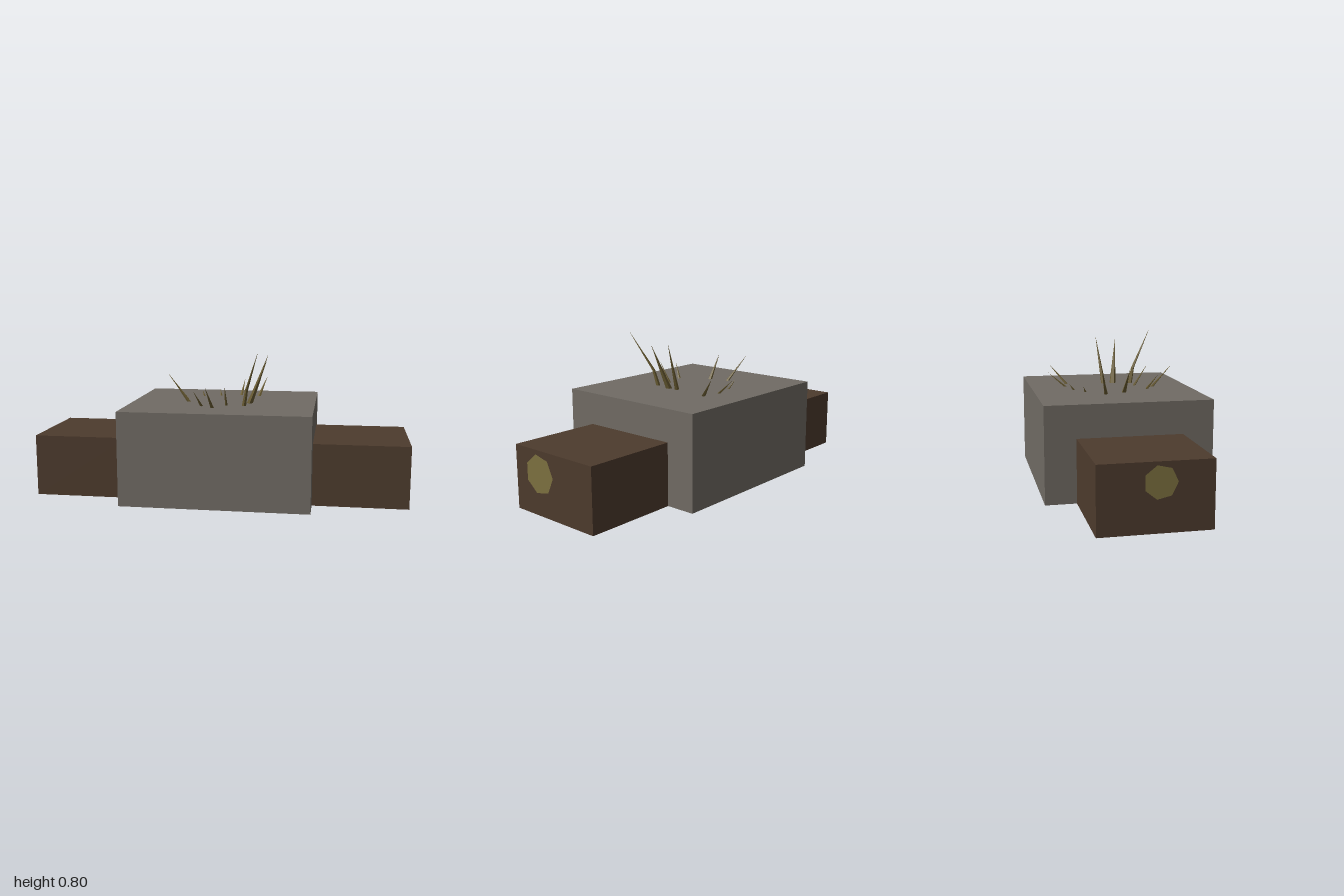
import * as THREE from 'three';

const mat = (color, side = THREE.FrontSide) =>
  new THREE.MeshStandardMaterial({ color, flatShading: true, side });
const stone = mat(0x706b64);
const earth = mat(0x4d3b2d);
const straw = mat(0x7d7040);
const blade = mat(0x6b5d33, THREE.DoubleSide);

function add(group, name, geometry, material, x = 0, y = 0, z = 0) {
  const mesh = new THREE.Mesh(geometry, material);
  mesh.name = name;
  mesh.position.set(x, y, z);
  group.add(mesh);
  return mesh;
}

// Five-sided tapering blade through a list of [x, y, z, radius] rings
function bladeGeometry(rings, sides = 5) {
  const position = [], index = [];
  rings.forEach(([x, y, z, r]) => {
    for (let i = 0; i < sides; i++) {
      const a = (i / sides) * Math.PI * 2;
      position.push(x + r * Math.sin(a), y, z + r * Math.cos(a));
    }
  });
  for (let k = 0; k < rings.length - 1; k++) {
    for (let i = 0; i < sides; i++) {
      const a = k * sides + i, b = k * sides + (i + 1) % sides;
      index.push(a, b, b + sides, a, b + sides, a + sides);
    }
  }
  const g = new THREE.BufferGeometry();
  g.setAttribute('position', new THREE.Float32BufferAttribute(position, 3));
  g.setIndex(index);
  g.computeVertexNormals();
  return g;
}

export function createModel() {
  const model = new THREE.Group();
  model.name = 'blockWithGrass';

  // Central block and the two lower side blocks
  add(model, 'centralBlock', new THREE.BoxGeometry(1, 0.5, 0.864), stone, 0, 0.25, 0);
  for (const s of [1, -1]) {
    add(model, s > 0 ? 'leftBlock' : 'rightBlock',
      new THREE.BoxGeometry(0.5, 0.33, 0.544), earth, s * 0.75, 0.165, 0);
  }

  // Straw patches on the two ends
  add(model, 'leftPatch', new THREE.CircleGeometry(0.1, 7), straw, 1.001, 0.21, 0.098)
    .rotation.y = Math.PI / 2;
  add(model, 'rightPatch', new THREE.CircleGeometry(0.08, 7), straw, -1.001, 0.235, 0.02)
    .rotation.y = -Math.PI / 2;

  // Straw patches underneath: x, z, radius
  for (const [x, z, r] of [[-0.03, -0.15, 0.06], [-0.155, 0.11, 0.065], [0.1, -0.13, 0.015], [-0.03, 0.03, 0.012]]) {
    add(model, 'undersidePatch', new THREE.CircleGeometry(r, 7), straw, x, -0.001, z)
      .rotation.x = Math.PI / 2;
  }

  // Ring of blades: base x, base z, tip x, tip y, tip z, base radius
  const blades = [
    [0.145, 0.045, 0.24, 0.74, 0.08, 0.018],
    [0.14, -0.01, 0.235, 0.755, -0.035, 0.013],
    [0.168, -0.22, 0.207, 0.6, -0.305, 0.011],
    [0.063, -0.24, 0.073, 0.58, -0.335, 0.009],
    [-0.052, -0.212, -0.06, 0.53, -0.235, 0.007],
    [-0.14, -0.163, -0.155, 0.53, -0.175, 0.006],
    [-0.225, -0.068, -0.345, 0.635, -0.112, 0.01],
    [-0.195, 0.035, -0.29, 0.63, 0.045, 0.012],
    [-0.097, 0.185, -0.13, 0.58, 0.24, 0.009],
    [-0.033, 0.23, -0.053, 0.615, 0.33, 0.01],
    [0.03, 0.145, 0.03, 0.61, 0.215, 0.008],
  ];
  const tuft = new THREE.Group();
  tuft.name = 'grassTuft';
  model.add(tuft);
  for (const [x, z, tx, ty, tz, r] of blades) {
    add(tuft, 'grassBlade', bladeGeometry([[x, 0.499, z, r], [tx, ty, tz, 0.0005]]), blade);
  }

  // The tallest blade bends outwards
  add(tuft, 'bentBlade', bladeGeometry([
    [0.125, 0.499, 0.143, 0.012],
    [0.14, 0.585, 0.162, 0.009],
    [0.21, 0.795, 0.275, 0.0005],
  ]), blade);

  return model;
}
